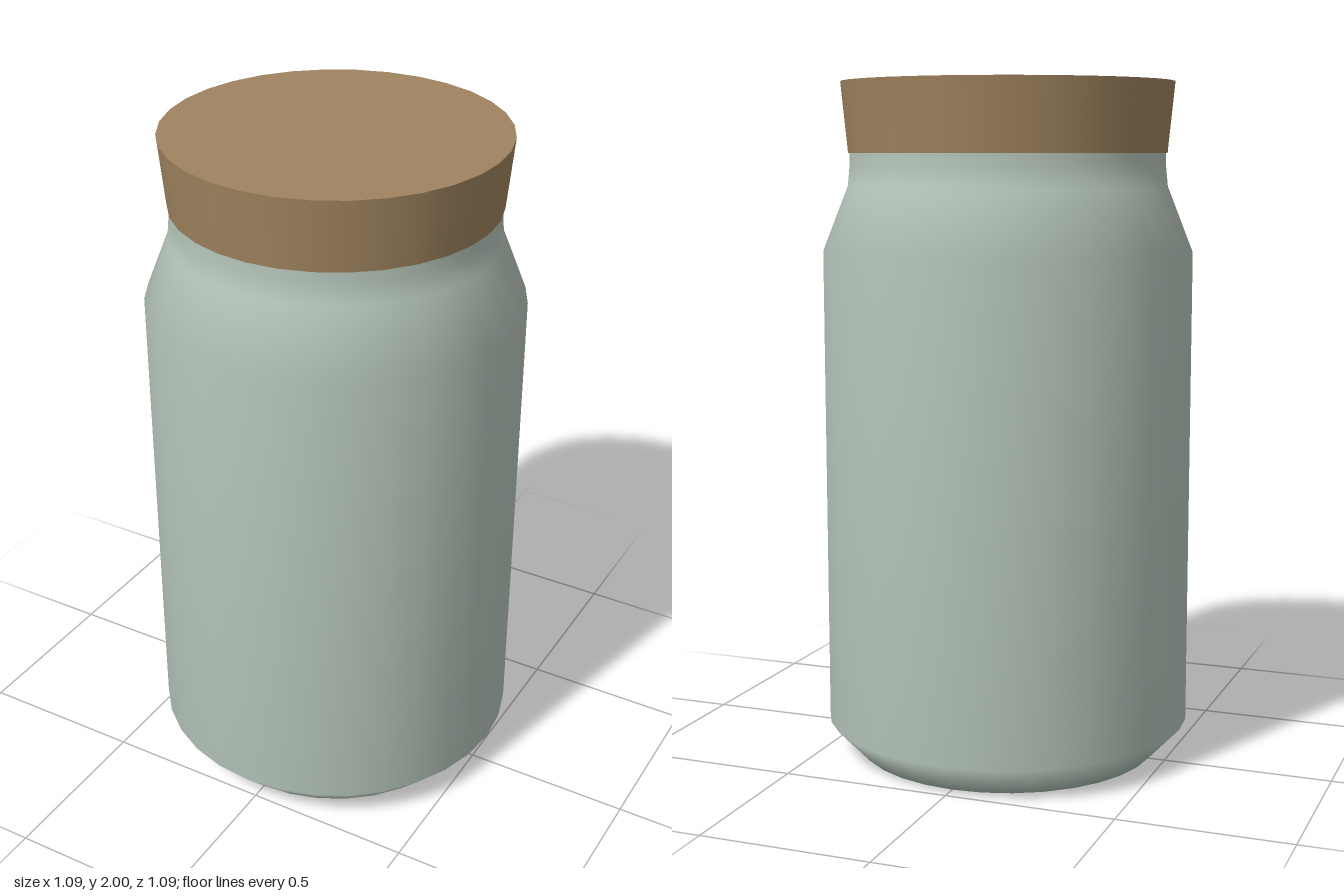
import * as THREE from 'three';

const SIDES = 32;

export function createModel() {
  const group = new THREE.Group();
  group.name = 'corkedJar';

  const glass = new THREE.MeshStandardMaterial({ color: 0xb4c4b9 });
  glass.name = 'pale green glass';
  const cork = new THREE.MeshStandardMaterial({ color: 0xa0845f });
  cork.name = 'brown cork';

  // Jar: flat base, bevelled foot, straight wall, sloping shoulder and short neck
  const profile = [
    [0, 0], [0.45, 0], [0.545, 0.1], [0.545, 1.51], [0.47, 1.7], [0.464, 1.76], [0.464, 1.8],
  ].map(([r, y]) => new THREE.Vector2(r, y));
  const jar = new THREE.Mesh(new THREE.LatheGeometry(profile, SIDES), glass);
  jar.name = 'jar';
  group.add(jar);

  // Stopper: tapered plug, wider at the top
  const stopper = new THREE.Mesh(new THREE.CylinderGeometry(0.488, 0.468, 0.205, SIDES), cork);
  stopper.name = 'stopper';
  stopper.position.y = 1.8975;
  group.add(stopper);

  return group;
}
